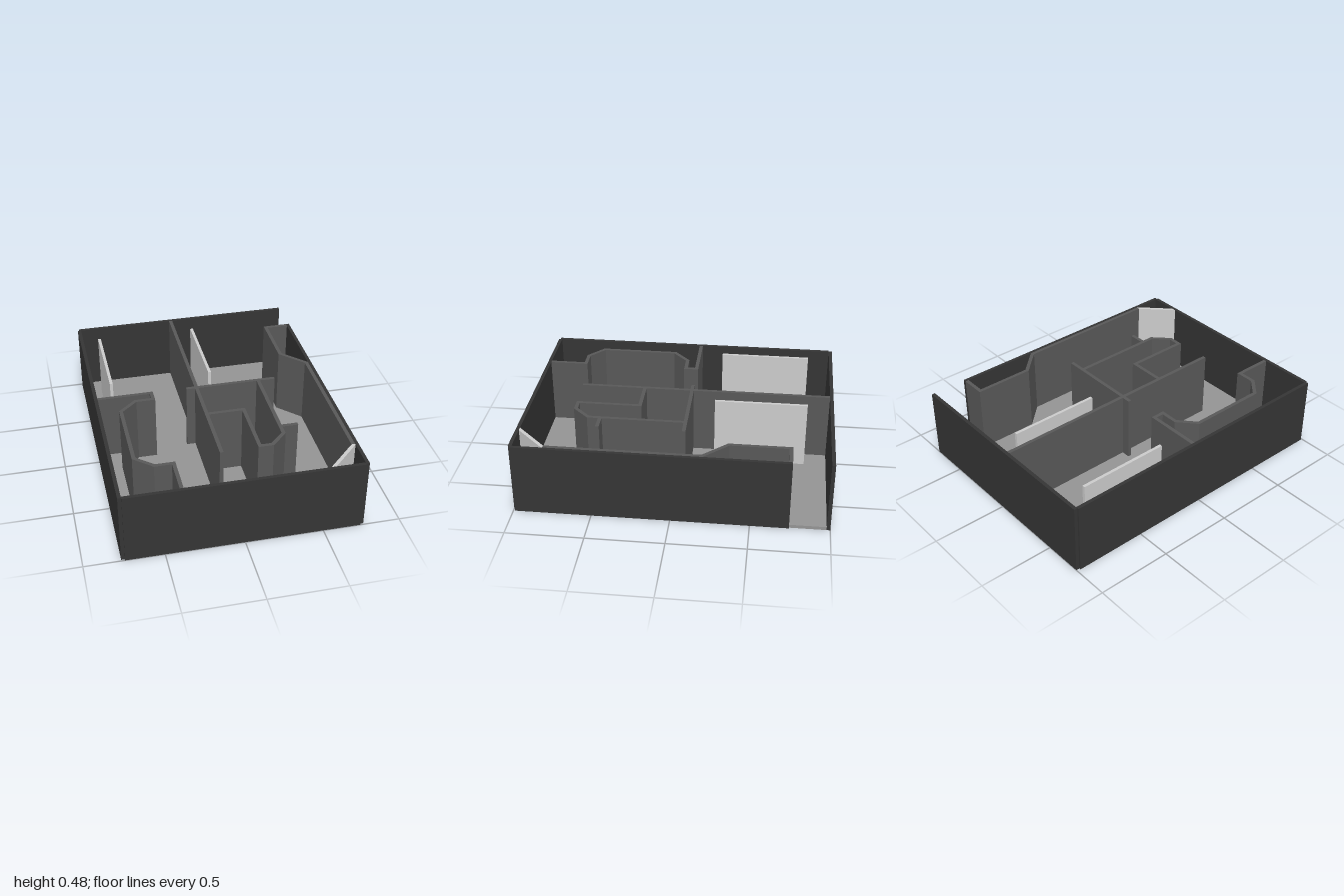
import * as THREE from 'three';

const HEIGHT = 0.475, FLOOR = 0.022, T = 0.024;

const material = (color) => new THREE.MeshStandardMaterial({ color, flatShading: true });

// Extrudes a plan outline of [x, z] points from y0 up to y1.
function slab(name, outline, y0, y1, mat) {
  const shape = new THREE.Shape(outline.map(([x, z]) => new THREE.Vector2(x, -z)));
  const geometry = new THREE.ExtrudeGeometry(shape, { depth: y1 - y0, bevelEnabled: false });
  geometry.rotateX(-Math.PI / 2).translate(0, y0, 0);
  const mesh = new THREE.Mesh(geometry, mat);
  mesh.name = name;
  return mesh;
}

// Wall outline of constant thickness around a centre line, with mitred corners.
function wallOutline(path, thickness = T) {
  const pts = path.map(([x, z]) => new THREE.Vector2(x, z));
  const left = [], right = [];
  pts.forEach((p, i) => {
    const before = i > 0 ? p.clone().sub(pts[i - 1]).normalize() : null;
    const after = i < pts.length - 1 ? pts[i + 1].clone().sub(p).normalize() : null;
    const a = before || after, b = after || before;
    const n1 = new THREE.Vector2(-a.y, a.x), n2 = new THREE.Vector2(-b.y, b.x);
    const miter = n1.clone().add(n2).multiplyScalar(thickness / 2 / (1 + n1.dot(n2)));
    left.push([p.x + miter.x, p.y + miter.y]);
    right.unshift([p.x - miter.x, p.y - miter.y]);
  });
  return [...left, ...right];
}

const rect = (x0, x1, z0, z1) => [[x0, z0], [x1, z0], [x1, z1], [x0, z1]];

export function createModel() {
  const model = new THREE.Group();
  model.name = 'floorPlan';
  const outer = material(0x353535), inner = material(0x585858);
  const light = material(0xcccccc), ground = material(0x949494);

  // Floor, widened at the doorway in the right-hand side
  model.add(slab('floor', [
    [-0.745, -0.977], [0.757, -0.977], [0.757, -0.745], [0.743, -0.745],
    [0.743, 0.977], [-0.745, 0.977],
  ], 0, FLOOR, ground));

  // Outer walls
  const outerWalls = {
    backWall: rect(-0.757, 0.757, -1, -0.977),
    frontWall: rect(-0.745, 0.743, 0.977, 1),
    leftSideWall: rect(-0.768, -0.745, -0.977, 0.99),
    rightSideWall: rect(0.743, 0.765, -0.745, 0.99),
  };
  for (const [name, outline] of Object.entries(outerWalls))
    model.add(slab(name, outline, 0, HEIGHT, outer));

  // Partition walls, given as centre lines in plan
  const partitions = {
    centreDivider: [[-0.08, -0.977], [-0.08, 0.69]],
    crossWallShort: [[-0.15, -0.055], [-0.092, -0.055]],
    crossWallLong: [[-0.068, -0.055], [0.46, -0.055]],
    alcoveTop: [[-0.745, -0.055], [-0.387, -0.055], [-0.387, 0.02], [-0.505, 0.02],
      [-0.615, 0.12], [-0.615, 0.633], [-0.505, 0.73], [-0.387, 0.73], [-0.387, 0.977]],
    closetWall: [[0.345, -0.043], [0.345, 0.577], [0.247, 0.675], [0.165, 0.675],
      [0.165, 0.265], [-0.068, 0.265]],
    closetStub: [[0.357, 0.498], [0.46, 0.498]],
    entryWall: [[0.743, -0.733], [0.585, -0.733], [0.585, -0.35], [0.731, -0.196], [0.731, 0.785]],
  };
  for (const [name, path] of Object.entries(partitions))
    model.add(slab(name, wallOutline(path), FLOOR, HEIGHT, inner));

  // Light free-standing panels and the diagonal corner panel
  for (const [name, x] of [['leftPanel', -0.63], ['centrePanel', 0.048]])
    model.add(slab(name, rect(x - 0.01, x + 0.01, -0.83, -0.22), FLOOR, HEIGHT, light));
  model.add(slab('cornerPanel',
    [[0.72, 0.785], [0.743, 0.785], [0.743, 0.793], [0.559, 0.977], [0.527, 0.977]],
    FLOOR, HEIGHT, light));

  return model;
}
